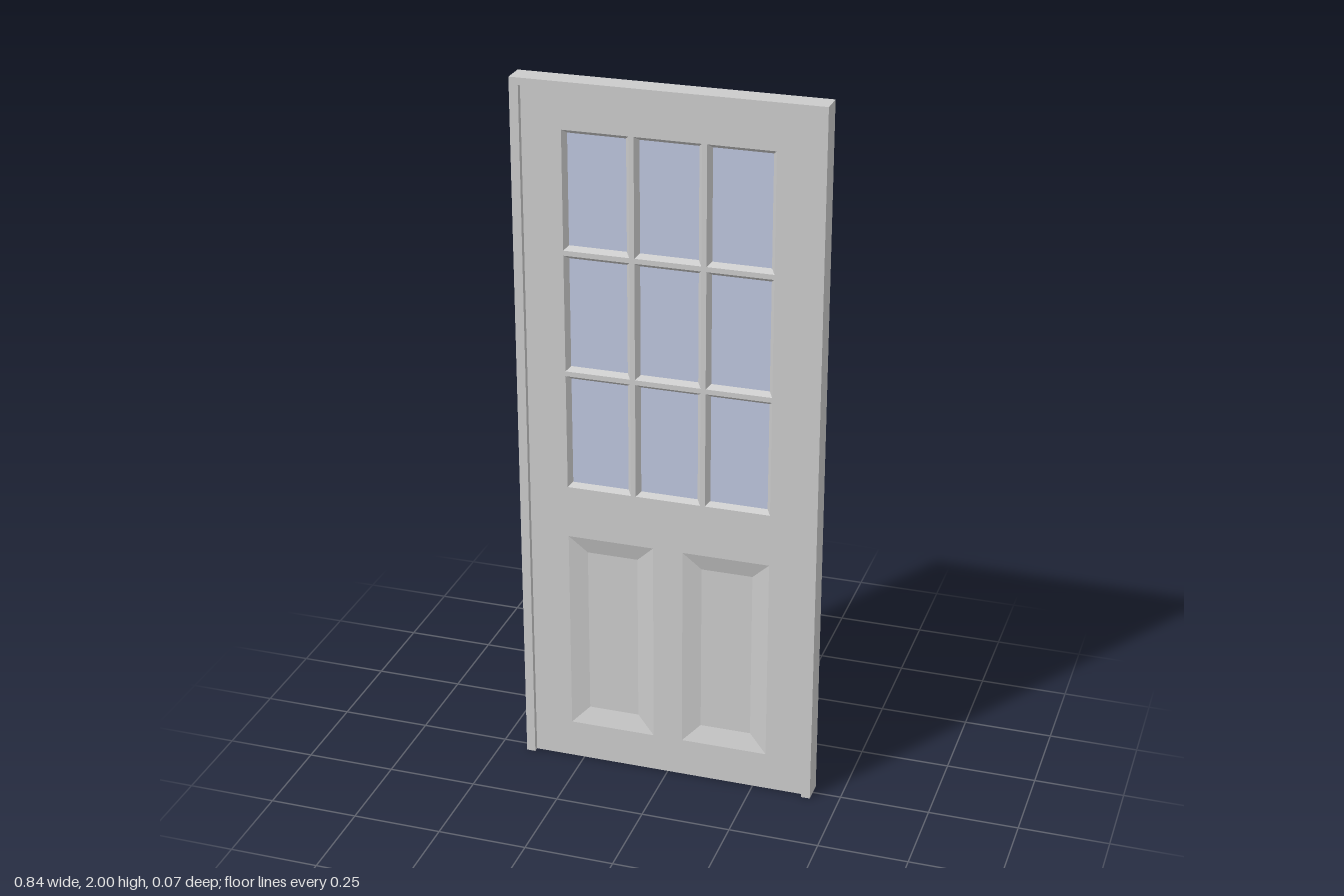
import * as THREE from 'three';

const grey = new THREE.MeshStandardMaterial({ color: 0xcccccc, flatShading: true });
const glassMaterial = new THREE.MeshStandardMaterial({ color: 0xbcc5dd });

const W = 0.42, H = 2, DEPTH = 0.066;      // outer frame
const IN_W = 0.395, IN_H = 1.98;           // frame opening
const SKIN = 0.018;                        // half thickness of the door leaf
const GLASS = 0.003;                       // half thickness of the glass

function add(parent, name, geometry, material = grey) {
  const mesh = new THREE.Mesh(geometry, material);
  mesh.name = name;
  parent.add(mesh);
  return mesh;
}

// Counter-clockwise corners of a rectangle, shrunk by an inset
const corners = ({ x0, x1, y0, y1 }, inset = 0) => [
  [x0 + inset, y0 + inset], [x1 - inset, y0 + inset],
  [x1 - inset, y1 - inset], [x0 + inset, y1 - inset],
];

const pathOf = (points) => points.map(([x, y]) => new THREE.Vector2(x, y));

// Four mitred faces leading from a rectangle to a smaller one at another depth
function bevelRing(rect, inset, zOuter, zInner) {
  const a = corners(rect).map(([x, y]) => [x, y, zOuter]);
  const b = corners(rect, inset).map(([x, y]) => [x, y, zInner]);
  const positions = [];
  for (let i = 0; i < 4; i++) {
    const j = (i + 1) % 4;
    positions.push(...a[i], ...a[j], ...b[j], ...a[i], ...b[j], ...b[i]);
  }
  const geometry = new THREE.BufferGeometry();
  geometry.setAttribute('position', new THREE.Float32BufferAttribute(positions, 3));
  geometry.computeVertexNormals();
  return geometry;
}

// Window openings: three by three, parted by thin bars
const panes = [];
const win = { x0: -0.286, x1: 0.286, y0: 0.853, y1: 1.868 }, bar = 0.014;
const paneW = (win.x1 - win.x0 - 2 * bar) / 3;
const paneH = (win.y1 - win.y0 - 2 * bar) / 3;
for (let row = 0; row < 3; row++) {
  for (let col = 0; col < 3; col++) {
    const x0 = win.x0 + col * (paneW + bar), y0 = win.y0 + row * (paneH + bar);
    panes.push({ x0, x1: x0 + paneW, y0, y1: y0 + paneH });
  }
}

// Two lower panels
const panels = [
  { x0: -0.286, x1: -0.042, y0: 0.11, y1: 0.703 },
  { x0: 0.042, x1: 0.286, y0: 0.11, y1: 0.703 },
];

// One side of the leaf; panelOffset is negative for sunken panels
function leafSide(name, panelOffset) {
  const side = new THREE.Group();
  side.name = name;
  const shape = new THREE.Shape(pathOf(corners({ x0: -IN_W, x1: IN_W, y0: 0, y1: IN_H })));
  for (const rect of [...panes, ...panels]) {
    shape.holes.push(new THREE.Path(pathOf(corners(rect).reverse())));
  }
  add(side, 'doorSkin', new THREE.ShapeGeometry(shape)).position.z = SKIN;
  for (const rect of panes) {
    add(side, 'paneBevel', bevelRing(rect, 0.011, SKIN, GLASS));
  }
  for (const rect of panels) {
    const z = SKIN + panelOffset, inset = 0.05;
    add(side, 'panelBevel', bevelRing(rect, inset, SKIN, z));
    const field = new THREE.Shape(pathOf(corners(rect, inset)));
    add(side, 'panelField', new THREE.ShapeGeometry(field)).position.z = z;
  }
  return side;
}

export function createModel() {
  const door = new THREE.Group();
  door.name = 'door';

  // Frame: two jambs and a head, open at the bottom
  const outline = new THREE.Shape(pathOf([
    [-W, 0], [-IN_W, 0], [-IN_W, IN_H], [IN_W, IN_H],
    [IN_W, 0], [W, 0], [W, H], [-W, H],
  ]));
  const frame = new THREE.ExtrudeGeometry(outline, { depth: DEPTH, bevelEnabled: false });
  add(door, 'frame', frame.translate(0, 0, -DEPTH / 2));

  // Panels are sunken on the front and stand out on the back
  door.add(leafSide('leafFront', -0.015));
  const back = leafSide('leafBack', 0.015);
  back.rotation.y = Math.PI;
  door.add(back);

  // Underside of the leaf
  const underside = new THREE.PlaneGeometry(2 * IN_W, 2 * SKIN).rotateX(Math.PI / 2);
  add(door, 'leafUnderside', underside);

  // Glass
  for (const { x0, x1, y0, y1 } of panes) {
    const pane = new THREE.BoxGeometry(x1 - x0 - 0.02, y1 - y0 - 0.02, 2 * GLASS);
    add(door, 'glassPane', pane, glassMaterial).position.set((x0 + x1) / 2, (y0 + y1) / 2, 0);
  }
  return door;
}
